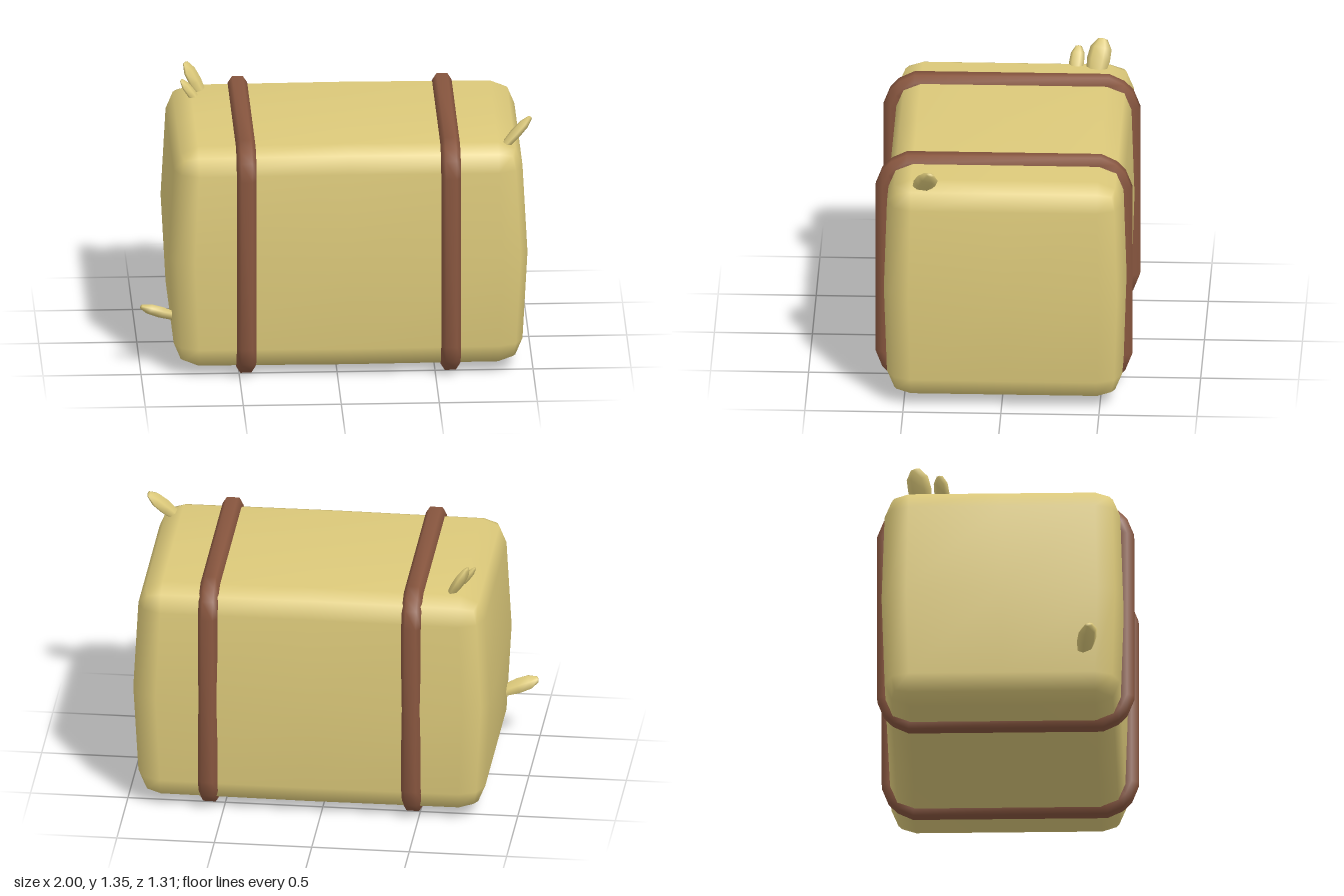
import * as THREE from 'three';
import { mergeVertices } from 'three/addons/utils/BufferGeometryUtils.js';

const straw = new THREE.MeshStandardMaterial({ color: 0xdcc97a });
straw.name = 'straw';
const leather = new THREE.MeshStandardMaterial({ color: 0x88563f });
leather.name = 'leather';

// Drop seams so that normals run smoothly over the whole surface
function smooth(geo) {
  geo.deleteAttribute('uv');
  geo.deleteAttribute('normal');
  const g = mergeVertices(geo, 1e-4);
  g.computeVertexNormals();
  return g;
}

// Rounded block with a slight bulge round its waist
function baleGeometry(half, r) {
  const geo = new THREE.BoxGeometry(4, 4, 4, 4, 4, 4);
  const pos = geo.attributes.position;
  const core = new THREE.Vector3(), dir = new THREE.Vector3();
  for (let i = 0; i < pos.count; i++) {
    const k = [pos.getX(i), pos.getY(i), pos.getZ(i)].map(Math.round);
    core.fromArray(k.map((v, a) => Math.sign(v) * (half[a] - r)));
    dir.fromArray(k.map((v) => (Math.abs(v) === 2 ? Math.sign(v) : 0))).normalize();
    core.addScaledVector(dir, r);
    if (k[1] === 0) { core.x *= 1.028; core.z *= 1.025; }
    if (k[0] === 0) core.y *= 1.007;
    pos.setXYZ(i, core.x, core.y, core.z);
  }
  return smooth(geo);
}

// Strap: a bevelled section swept round a rounded rectangle in the yz plane
function strapGeometry(halfZ, halfY) {
  const corner = [[0, 0.175], [0.035, 0.085], [0.08, 0.038], [0.16, 0]];
  const section = [[-0.05, 0.09], [-0.05, 0.035], [-0.028, 0], [0.028, 0], [0.05, 0.035], [0.05, 0.09]];
  const path = [];
  for (const [sz, sy, flip] of [[1, 1, 0], [-1, 1, 1], [-1, -1, 0], [1, -1, 1]]) {
    const pts = corner.map(([dz, dy], i) => {
      const a = (i * Math.PI) / 6;
      return [sz * (halfZ - dz), sy * (halfY - dy), sz * Math.cos(a), sy * Math.sin(a)];
    });
    path.push(...(flip ? pts.reverse() : pts));
  }
  const verts = [], index = [], n = section.length, m = path.length;
  path.forEach(([z, y, nz, ny], i) => {
    section.forEach(([x, inset], j) => {
      verts.push(x, y - ny * inset, z - nz * inset);
      const a = i * n + j, b = i * n + ((j + 1) % n);
      const c = ((i + 1) % m) * n + j, d = ((i + 1) % m) * n + ((j + 1) % n);
      index.push(a, b, c, b, d, c);
    });
  });
  const geo = new THREE.BufferGeometry();
  geo.setAttribute('position', new THREE.Float32BufferAttribute(verts, 3));
  geo.setIndex(index);
  geo.computeVertexNormals();
  return geo;
}

// Flattened tuft of straw running from base to tip
function tuft(name, base, tip, side, width, thickness) {
  const profile = [[0, 0], [0.32, 0], [0.5, 0.5], [0.46, 0.78], [0.2, 0.98], [0, 1]];
  const geo = smooth(new THREE.LatheGeometry(profile.map(([x, y]) => new THREE.Vector2(x, y)), 6, Math.PI / 2));
  const b = new THREE.Vector3(...base);
  const along = new THREE.Vector3(...tip).sub(b);
  const length = along.length();
  along.normalize();
  const z = new THREE.Vector3(...side).cross(along).normalize();
  const x = along.clone().cross(z);
  const mesh = new THREE.Mesh(geo, straw);
  mesh.name = name;
  mesh.quaternion.setFromRotationMatrix(new THREE.Matrix4().makeBasis(x, along, z));
  mesh.scale.set(width, length, thickness);
  mesh.position.copy(b);
  return mesh;
}

export function createModel() {
  const group = new THREE.Group();
  group.name = 'strappedBale';

  const bale = new THREE.Mesh(baleGeometry([0.89, 0.592, 0.6], 0.125), straw);
  bale.name = 'bale';
  bale.position.set(0.058, 0.623, -0.012);
  group.add(bale);

  // Two straps round the bale
  const strapGeo = strapGeometry(0.655, 0.6275);
  for (const [name, x] of [['rightStrap', -0.465], ['leftStrap', 0.578]]) {
    const strap = new THREE.Mesh(strapGeo, leather);
    strap.name = name;
    strap.position.set(x, 0.6275, 0);
    group.add(strap);
  }

  // Loose tufts sticking out of the corners
  group.add(
    tuft('lowerRightTuft', [-0.79, 0.27, 0.41], [-1.0, 0.345, 0.435], [0, 0.45, 1], 0.11, 0.06),
    tuft('frontLeftTuft', [0.83, 1.15, 0.425], [0.995, 1.315, 0.36], [0, 0.2, 1], 0.115, 0.055),
    tuft('backLargeTuft', [-0.63, 1.15, -0.41], [-0.735, 1.35, -0.455], [0.3, 0, -1], 0.125, 0.055),
    tuft('backSmallTuft', [-0.65, 1.15, -0.31], [-0.76, 1.298, -0.33], [0.3, 0, -1], 0.08, 0.04),
  );
  return group;
}
